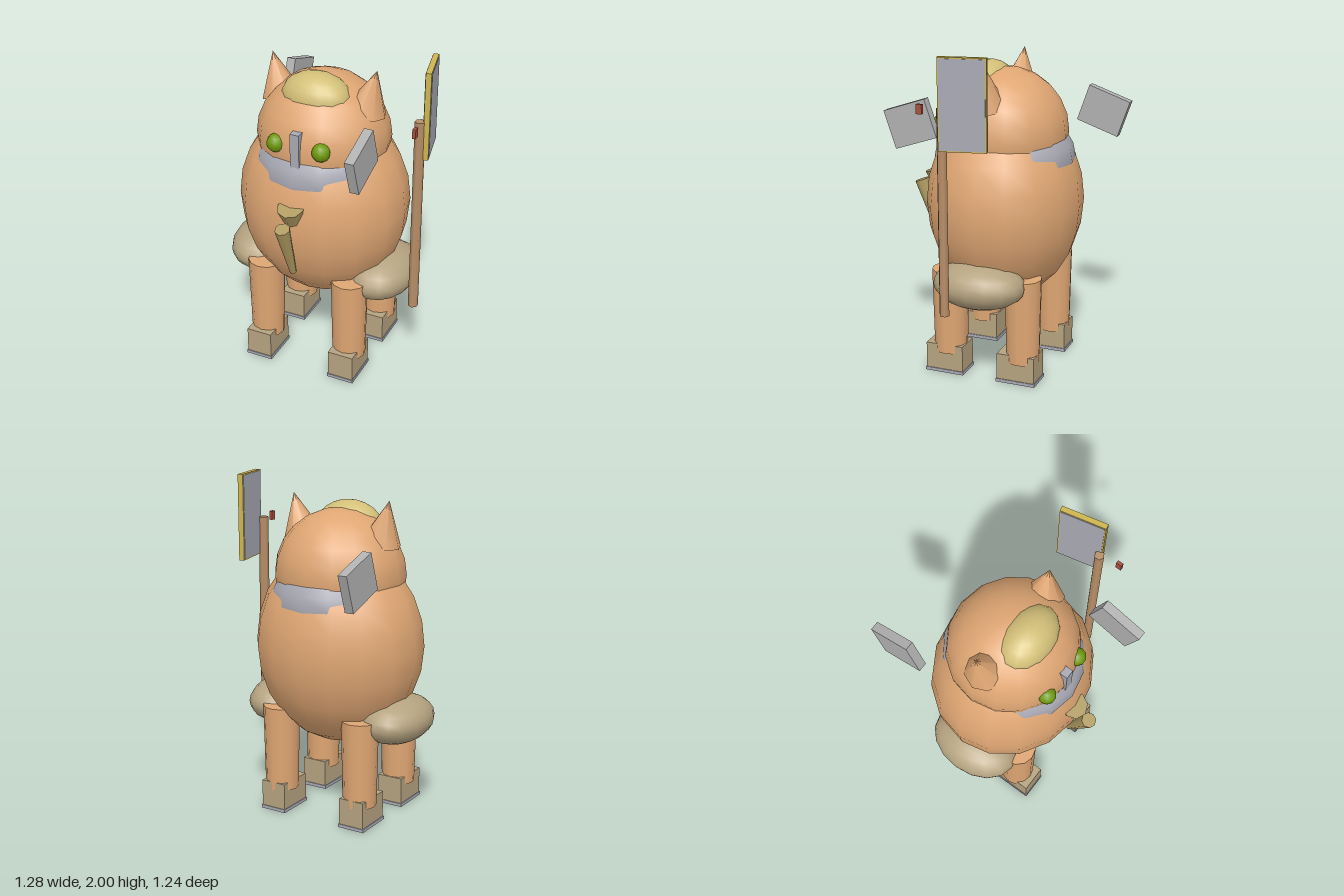
import * as THREE from 'three';

const mat = (color) => new THREE.MeshStandardMaterial({ color });
const FUR = mat(0xdfa673), TAN = mat(0xb5a380), GREY = mat(0xa9a9b4), PLATE = mat(0xb0b0b0);
const STRAW = mat(0xd2bf78), GREEN = mat(0x6f9a0c), WOOD = mat(0xb98f68), RED = mat(0xa8503c);
const HORN = mat(0xb09c62), GOLD = mat(0xcdb550);

export function createModel() {
  const model = new THREE.Group();
  const CX = -0.05, CZ = 0.03; // axis of the animal

  const add = (name, geometry, material, x, y, z) => {
    const mesh = new THREE.Mesh(geometry, material);
    mesh.name = name;
    mesh.position.set(x, y, z);
    model.add(mesh);
    return mesh;
  };
  const ball = (name, m, x, y, z, rx, ry, rz, segs = 16, rings = 12) =>
    add(name, new THREE.SphereGeometry(1, segs, rings).scale(rx, ry, rz), m, x, y, z);
  const box = (name, m, x, y, z, w, h, d) =>
    add(name, new THREE.BoxGeometry(w, h, d), m, x, y, z);
  // tapered cylinder running from point a (radius ra) to point b (radius rb)
  const rod = (name, m, a, b, ra, rb, segs) => {
    const A = new THREE.Vector3(...a), B = new THREE.Vector3(...b);
    const dir = B.clone().sub(A), mid = A.clone().add(B).multiplyScalar(0.5);
    const mesh = add(name, new THREE.CylinderGeometry(rb, ra, dir.length(), segs), m, mid.x, mid.y, mid.z);
    mesh.quaternion.setFromUnitVectors(new THREE.Vector3(0, 1, 0), dir.normalize());
    return mesh;
  };

  // body, neck ruff and head
  ball('body', FUR, CX, 1.03, 0.025, 0.515, 0.6, 0.465);
  ball('neckRuff', GREY, CX, 1.3, 0.028, 0.405, 0.3, 0.42);
  ball('head', FUR, CX, 1.45, CZ, 0.395, 0.385, 0.378);
  ball('hairTuft', STRAW, CX, 1.72, 0.13, 0.21, 0.15, 0.15);
  box('nose', GREY, CX, 1.505, 0.36, 0.055, 0.21, 0.11);

  // paired parts
  for (const s of [-1, 1]) {
    ball('eye', GREEN, CX + s * 0.14, 1.51, 0.365, 0.054, 0.055, 0.054, 10, 8);
    rod('ear', FUR, [CX + s * 0.265, 1.65, 0.04], [CX + s * 0.325, 1.9, 0.03], 0.12, 0, 8);
    ball('hip', TAN, CX + s * 0.395, 0.62, 0.035, 0.2, 0.14, 0.28);
    for (const [legZ, footZ] of [[0.27, 0.283], [-0.195, -0.175]]) {
      const x = CX + s * 0.275;
      rod('leg', FUR, [x, 0.13, legZ], [x, 0.65, legZ], 0.1, 0.11, 12);
      box('foot', TAN, x, 0.1, footZ, 0.16, 0.16, 0.235);
      box('sole', GREY, x, 0.01, footZ, 0.17, 0.02, 0.245);
    }
  }

  // horn hanging on the chest, with its short holder
  rod('chestHorn', HORN, [CX, 0.74, 0.455], [CX, 1.095, 0.578], 0.02, 0.045, 8);
  rod('hornHolder', HORN, [CX, 1.06, 0.43], [CX, 1.18, 0.472], 0.05, 0.08, 8);

  // tilted side plates, one ahead of the head and one behind
  box('sidePlate', PLATE, 0.365, 1.553, 0.435, 0.055, 0.23, 0.27).rotation.x = 0.33;
  box('sidePlate', PLATE, -0.462, 1.528, -0.455, 0.055, 0.23, 0.27).rotation.x = -0.33;

  // staff with a framed board and a small clip
  rod('staff', WOOD, [0.583, 0.5, 0.15], [0.583, 1.71, 0.15], 0.03, 0.03, 6);
  box('boardFrame', GOLD, 0.592, 1.74, 0.02, 0.032, 0.52, 0.27).rotation.y = 0.22;
  box('boardPanel', GREY, 0.592, 1.74, 0.02, 0.038, 0.505, 0.255).rotation.y = 0.22;
  box('clip', RED, 0.603, 1.7, 0.272, 0.02, 0.055, 0.035);

  return model;
}
